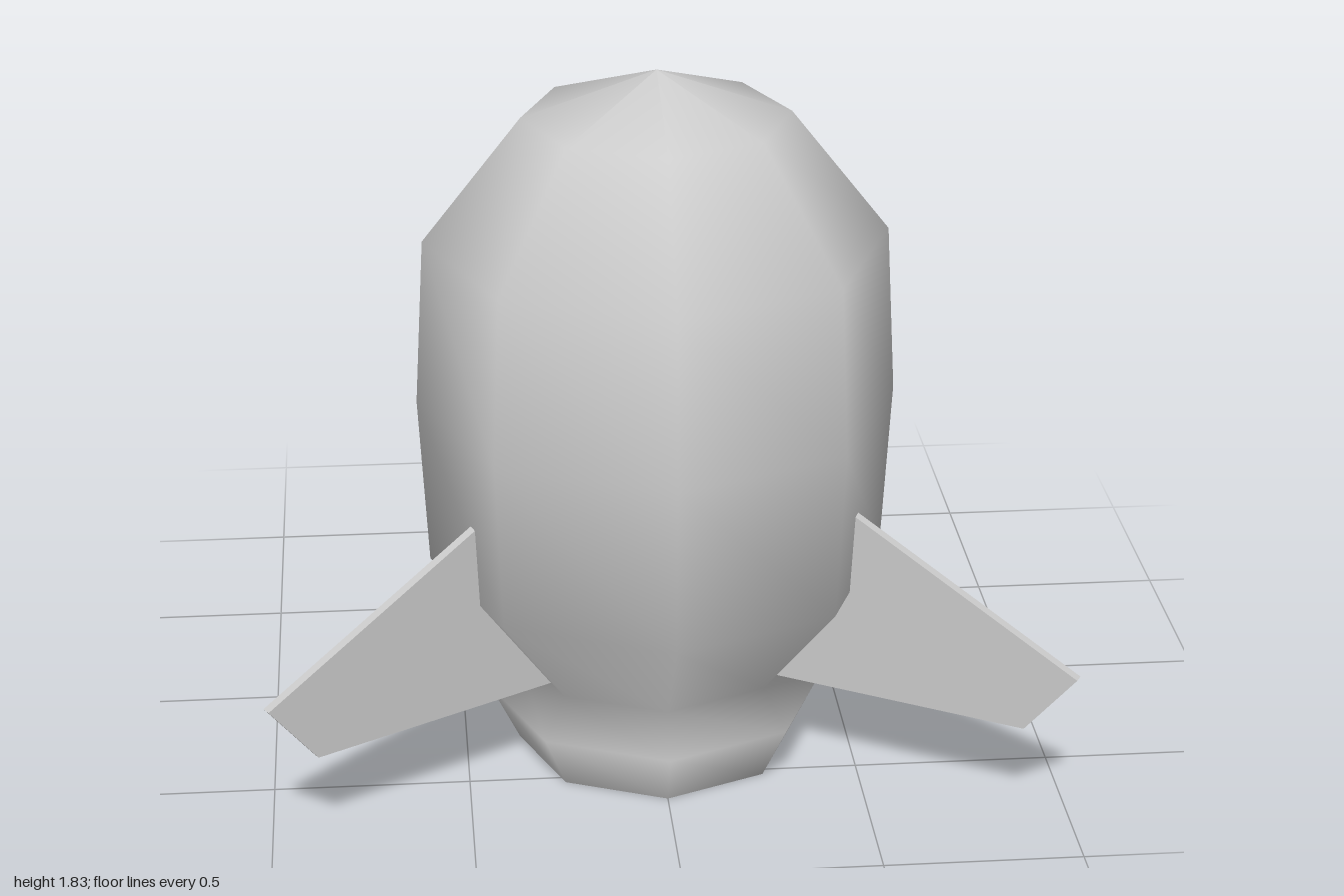
import * as THREE from 'three';

export function createModel() {
  const model = new THREE.Group();
  const material = new THREE.MeshStandardMaterial({ color: 0xcccccc });

  // The hull axis sits forward of the origin because one fin points straight back
  const rocket = new THREE.Group();
  rocket.name = 'rocket';
  rocket.position.z = 0.27;
  model.add(rocket);

  // Eight-sided turned surface: rising profiles face outward, falling ones inward
  function addLathe(name, profile) {
    const points = profile.map(([r, y]) => new THREE.Vector2(r, y));
    const mesh = new THREE.Mesh(new THREE.LatheGeometry(points, 8), material);
    mesh.name = name;
    rocket.add(mesh);
  }

  // Outer hull with flared nozzle and blunt nose
  addLathe('hull', [
    [0.36, 0], [0.435, 0.15], [0.36, 0.25], [0.583, 0.53],
    [0.607, 0.97], [0.583, 1.4], [0.335, 1.715], [0, 1.83],
  ]);

  // Hollow inside of the hull
  addLathe('innerWall', [
    [0, 1.77], [0.3, 1.665], [0.525, 1.38], [0.545, 0.97],
    [0.525, 0.555], [0.285, 0.25], [0.36, 0.15], [0.295, 0],
  ]);

  // Flat rim closing the wall thickness at the nozzle mouth
  addLathe('nozzleRim', [[0.295, 0], [0.36, 0]]);

  // Three thin fins, drawn as radius against height
  const thickness = 0.025;
  const outline = new THREE.Shape([
    [0.26, 0.25], [1.02, 0.25], [1.152, 0.415], [0.52, 0.76],
  ].map(([r, y]) => new THREE.Vector2(r, y)));
  const finGeometry = new THREE.ExtrudeGeometry(outline, { depth: thickness, bevelEnabled: false });
  finGeometry.translate(0, 0, -thickness / 2);

  const fins = { backFin: Math.PI / 2, leftFin: -Math.PI / 6, rightFin: -5 * Math.PI / 6 };
  for (const [name, angle] of Object.entries(fins)) {
    const fin = new THREE.Mesh(finGeometry, material);
    fin.name = name;
    fin.rotation.y = angle;
    rocket.add(fin);
  }

  return model;
}
